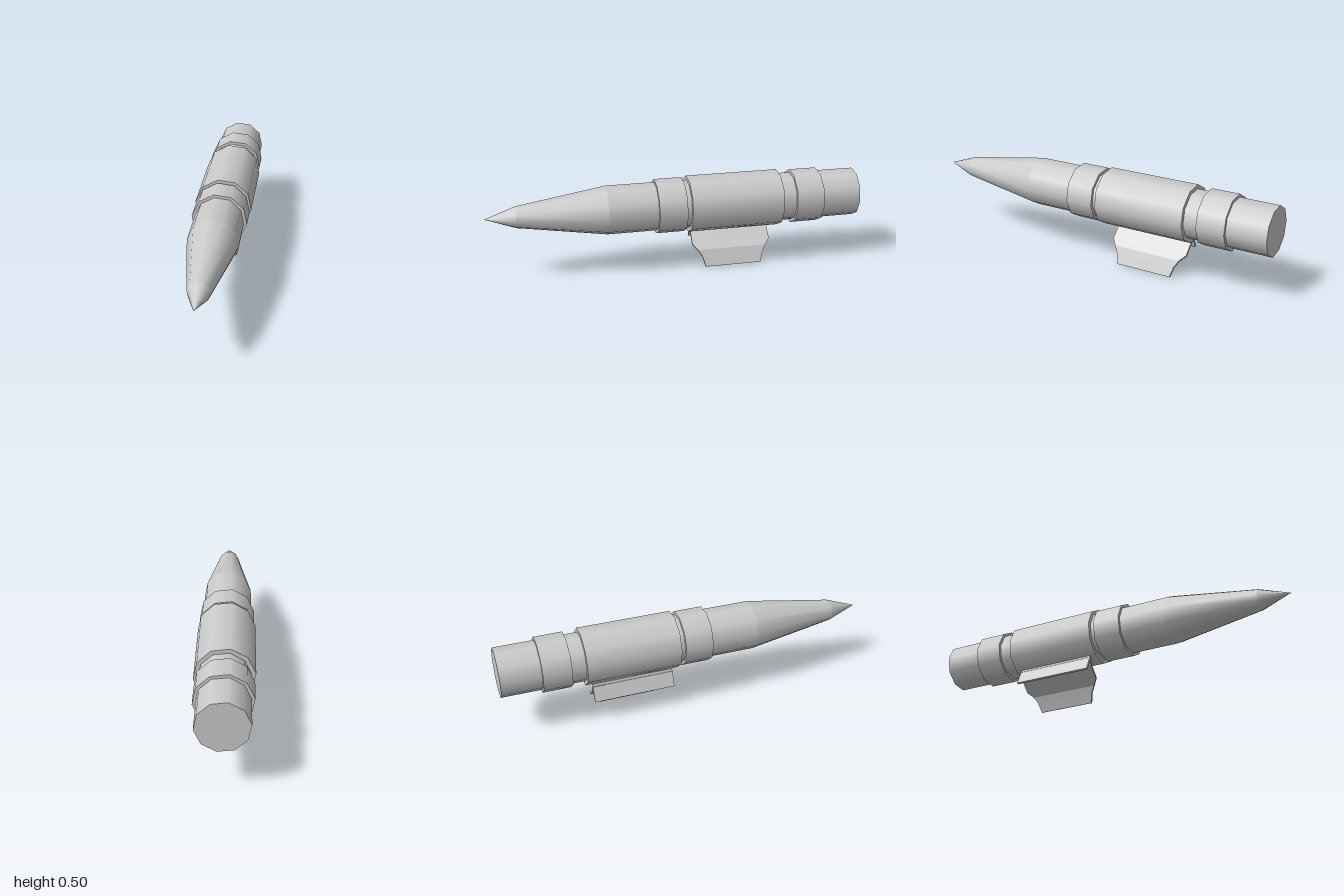
import * as THREE from 'three';

const material = new THREE.MeshStandardMaterial({ color: 0xcccccc });
const AXIS_Y = 0.353;
const SIDES = 10;
const TWIST = THREE.MathUtils.degToRad(11.3);

// Ten-sided section along z, from zBack to zFront
function section(name, zBack, zFront, rBack, rFront = rBack) {
  const geo = new THREE.CylinderGeometry(rFront, rBack, zFront - zBack, SIDES, 1, false, TWIST);
  geo.rotateX(Math.PI / 2);
  const mesh = new THREE.Mesh(geo, material);
  mesh.name = name;
  mesh.position.set(0, AXIS_Y, (zBack + zFront) / 2);
  return mesh;
}

// Bent plate: each station is [x, y, half length along z]
function plate(name, stations, thickness, zMid) {
  const rings = stations.map(([x, y, half], i) => {
    const a = stations[Math.max(i - 1, 0)];
    const b = stations[Math.min(i + 1, stations.length - 1)];
    const n = new THREE.Vector2(b[1] - a[1], a[0] - b[0]).normalize().multiplyScalar(thickness / 2);
    return [
      [x + n.x, y + n.y, zMid + half], [x + n.x, y + n.y, zMid - half],
      [x - n.x, y - n.y, zMid - half], [x - n.x, y - n.y, zMid + half],
    ];
  });
  const pos = [];
  const quad = (a, b, c, d) => pos.push(...a, ...b, ...c, ...a, ...c, ...d);
  for (let i = 0; i < rings.length - 1; i++) {
    for (let k = 0; k < 4; k++) {
      const m = (k + 1) % 4;
      quad(rings[i][k], rings[i + 1][k], rings[i + 1][m], rings[i][m]);
    }
  }
  quad(...rings[0]);
  quad(...[...rings[rings.length - 1]].reverse());
  const geo = new THREE.BufferGeometry();
  geo.setAttribute('position', new THREE.Float32BufferAttribute(pos, 3));
  geo.computeVertexNormals();
  const mat = material.clone();
  mat.side = THREE.DoubleSide;
  const mesh = new THREE.Mesh(geo, mat);
  mesh.name = name;
  return mesh;
}

export function createModel() {
  const model = new THREE.Group();
  model.name = 'pointedTube';

  // Barrel and tapered nose
  model.add(
    section('barrel', -1, 0.37, 0.13),
    section('nose', 0.37, 0.84, 0.13, 0.057),
    section('tip', 0.84, 1, 0.057, 0),
  );

  // Raised sleeve with a band on either side
  model.add(
    section('sleeve', -0.565, -0.065, 0.152),
    section('frontBand', -0.04, 0.11, 0.146),
    section('rearBand', -0.79, -0.64, 0.146),
  );

  // Curved trigger lever with narrowing end, and the short plate beside it
  model.add(
    plate('lever', [
      [-0.071, 0.207, 0.217], [-0.056, 0.168, 0.217], [0, 0.112, 0.217],
      [0.027, 0.087, 0.19], [0.041, 0.053, 0.169], [0.061, 0.002, 0.155],
    ], 0.012, -0.313),
    plate('shortPlate', [[-0.065, 0.215, 0.217], [-0.105, 0.127, 0.217]], 0.011, -0.313),
  );
  return model;
}
